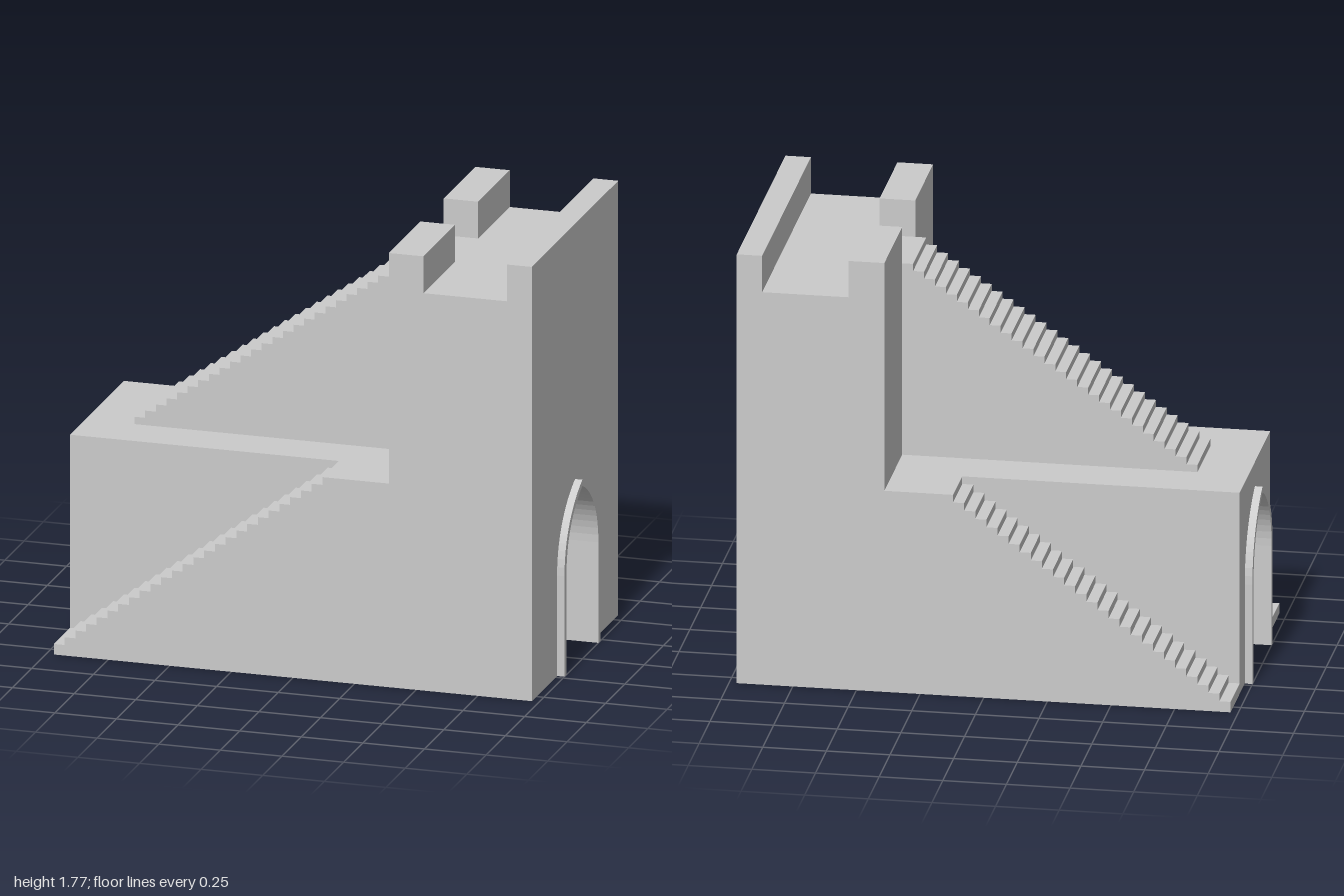
import * as THREE from 'three';

const END = 0.97, SIDE = 0.56, BODY = 0.35, FLIGHT = 0.15;
const DECK = 0.83, ROOF = 1.62, TOP = 1.77;
const TOWER = 0.39, MERLON = 0.53, PARAPET = 0.87, LANDING = 0.12;

const material = new THREE.MeshStandardMaterial({ color: 0xcccccc, side: THREE.DoubleSide });

function part(name, geometry, parent) {
  const mesh = new THREE.Mesh(geometry, material);
  mesh.name = name;
  parent.add(mesh);
  return mesh;
}

// Folded sheet: a profile in x,y swept between two depths, with hard folds
function ribbon(points, z0, z1) {
  const pos = [];
  for (let i = 0; i < points.length - 1; i++) {
    const [ax, ay] = points[i], [bx, by] = points[i + 1];
    pos.push(ax, ay, z1, bx, by, z1, bx, by, z0, ax, ay, z1, bx, by, z0, ax, ay, z0);
  }
  const g = new THREE.BufferGeometry();
  g.setAttribute('position', new THREE.Float32BufferAttribute(pos, 3));
  g.computeVertexNormals();
  return g;
}

const toShape = (points) => new THREE.Shape(points.map(([x, y]) => new THREE.Vector2(x, y)));
const panel = (points, z = 0) => new THREE.ShapeGeometry(toShape(points)).translate(0, 0, z);

// Stair profile: a riser first, then tread and riser in turn
function steps(x0, y0, x1, y1, treads, firstRise) {
  const pts = [[x0, y0]];
  const run = (x1 - x0) / treads, rise = (y1 - y0 - firstRise) / treads;
  for (let i = 0; i <= treads; i++) {
    const y = y0 + firstRise + rise * i;
    pts.push([x0 + run * i, y]);
    if (i < treads) pts.push([x0 + run * (i + 1), y]);
  }
  return pts;
}

// Pointed arch outline, from the right foot over the crown to the left foot
function arch(half, spring, crown) {
  const v = (x, y) => new THREE.Vector2(x, y);
  const h = crown - spring;
  const curve = new THREE.CubicBezierCurve(
    v(half, spring), v(half, spring + h * 0.5), v(half * 0.52, spring + h * 0.84), v(0, crown));
  const right = curve.getPoints(14).map((p) => [p.x, p.y]);
  const left = right.slice(0, -1).reverse().map(([x, y]) => [-x, y]);
  return [[half, 0], ...right, ...left, [-half, 0]];
}

export function createModel() {
  const model = new THREE.Group();
  model.name = 'gatehouse';

  const lowerSteps = steps(-END, 0, LANDING, DECK, 25, 0.043);
  const upperSteps = steps(-0.77, DECK, 0.347, ROOF, 26, 0.03);
  const opening = arch(0.207, 0.41, 0.705);
  const surround = arch(0.233, 0.41, 0.73);
  const rearEdge = [[PARAPET, ROOF], [PARAPET, TOP], [END, TOP]];
  const towerTop = [[TOWER, DECK], [TOWER, TOP], [MERLON, TOP], [MERLON, ROOF], ...rearEdge];

  // Mirrored halves: outer wall, side stair, body wall, terrace and merlon
  for (const s of [1, -1]) {
    const half = new THREE.Group();
    half.name = s > 0 ? 'frontHalf' : 'backHalf';
    half.scale.z = s;
    model.add(half);
    part('outerWall', panel([...lowerSteps, ...towerTop, [END, 0]], SIDE), half);
    part('sideStair', ribbon(lowerSteps, BODY, SIDE), half);
    part('bodyWall', panel([...lowerSteps, [-END, DECK]], BODY), half);
    part('terrace', ribbon([[-END, DECK], [LANDING, DECK]], FLIGHT, BODY), half);
    part('towerOuterTop', ribbon([[LANDING, DECK], ...towerTop], BODY, SIDE), half);
    part('towerInnerTop', ribbon([[LANDING, DECK], ...towerTop], FLIGHT, BODY), half);
    part('upperStairWall', panel([...upperSteps, [TOWER, ROOF], [TOWER, DECK]], FLIGHT), half);
    part('merlonEnd',
      panel([[TOWER, ROOF], [TOWER, TOP], [MERLON, TOP], [MERLON, ROOF]], FLIGHT), half);
  }

  // Central flight running from the terrace up to the roof
  part('upperStair', ribbon([[-END, DECK], ...upperSteps, [MERLON, ROOF], ...rearEdge],
    -FLIGHT, FLIGHT), model);

  // End walls cut by the arch, and the raised arch surrounds
  const ring = toShape([...surround, ...opening.slice().reverse()]);
  for (const [s, halfWidth, height] of [[1, SIDE, TOP], [-1, BODY, DECK]]) {
    const end = new THREE.Group();
    end.name = s > 0 ? 'towerEnd' : 'terraceEnd';
    end.rotation.y = s * Math.PI / 2;
    model.add(end);
    part('endWall', panel([[halfWidth, 0], [halfWidth, height], [-halfWidth, height],
      [-halfWidth, 0], ...opening.slice().reverse()], END), end);
    part('archSurround', new THREE.ExtrudeGeometry(ring, { depth: 0.03, bevelEnabled: false })
      .translate(0, 0, END), end);
  }

  // Vaulted passage through the whole length
  part('passage', ribbon(opening, -END, END).rotateY(Math.PI / 2), model);

  return model;
}
